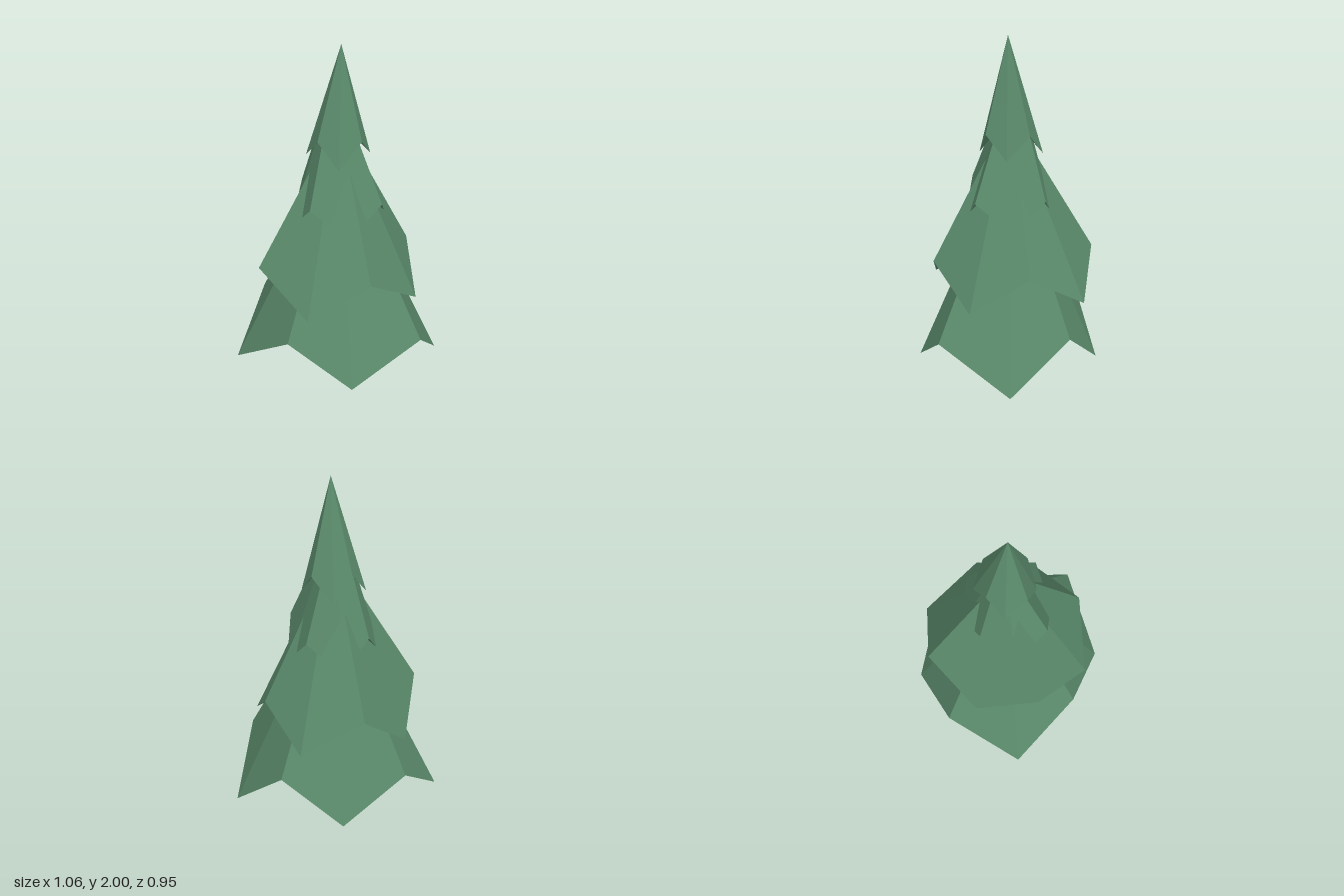
import * as THREE from 'three';

// Each tier: peak, centre of the hollow underside, and a zigzag hem running
// front -> left (+x) -> back -> right, alternating high and low corners.
const TIERS = [
  {
    name: 'bottomBranches', peak: [0, 1.28, 0], under: 0.405,
    hem: [[-0.18, 0.275, 0.443], [0.197, 0.045, 0.46], [0.528, 0.275, 0.204], [0.494, 0, -0.22],
      [0.172, 0.275, -0.445], [-0.19, 0.033, -0.442], [-0.48, 0.275, -0.195], [-0.527, 0.033, 0.222]],
  },
  {
    name: 'lowerMiddleBranches', peak: [0, 1.52, 0], under: 0.79,
    hem: [[-0.055, 0.452, 0.475], [0.277, 0.66, 0.345], [0.457, 0.455, 0.045], [0.32, 0.66, -0.265],
      [0.05, 0.457, -0.477], [-0.295, 0.66, -0.37], [-0.435, 0.425, -0.05], [-0.385, 0.66, 0.3]],
  },
  {
    name: 'upperMiddleBranches', peak: [-0.03, 1.77, -0.015], under: 1.12,
    hem: [[-0.097, 1.05, 0.27], [0.115, 0.87, 0.225], [0.275, 1.05, 0.092], [0.227, 0.87, -0.14],
      [0.082, 1.05, -0.256], [-0.112, 0.87, -0.223], [-0.235, 1.05, -0.085], [-0.245, 0.85, 0.13]],
  },
  {
    name: 'topBranches', peak: [0.015, 2, 0.004], under: 1.5,
    hem: [[-0.085, 1.43, 0.15], [0.045, 1.27, 0.165], [0.155, 1.43, 0.08], [0.167, 1.29, -0.055],
      [0.08, 1.43, -0.16], [-0.055, 1.28, -0.18], [-0.137, 1.43, -0.08], [-0.18, 1.28, 0.045]],
  },
];

// Faceted cone with a jagged hem, closed underneath by a sunken fan
function tierGeometry({ peak, under, hem }) {
  const centre = [0, under, 0];
  const positions = [];
  hem.forEach((corner, i) => {
    const next = hem[(i + 1) % hem.length];
    positions.push(...peak, ...corner, ...next);
    positions.push(...centre, ...next, ...corner);
  });
  const geometry = new THREE.BufferGeometry();
  geometry.setAttribute('position', new THREE.Float32BufferAttribute(positions, 3));
  geometry.computeVertexNormals();
  return geometry;
}

export function createModel() {
  const tree = new THREE.Group();
  tree.name = 'pineTree';
  const needleGreen = new THREE.MeshStandardMaterial({ color: 0x5a8a6b });
  needleGreen.name = 'needleGreen';
  needleGreen.flatShading = true;
  for (const tier of TIERS) {
    const mesh = new THREE.Mesh(tierGeometry(tier), needleGreen);
    mesh.name = tier.name;
    tree.add(mesh);
  }
  return tree;
}
